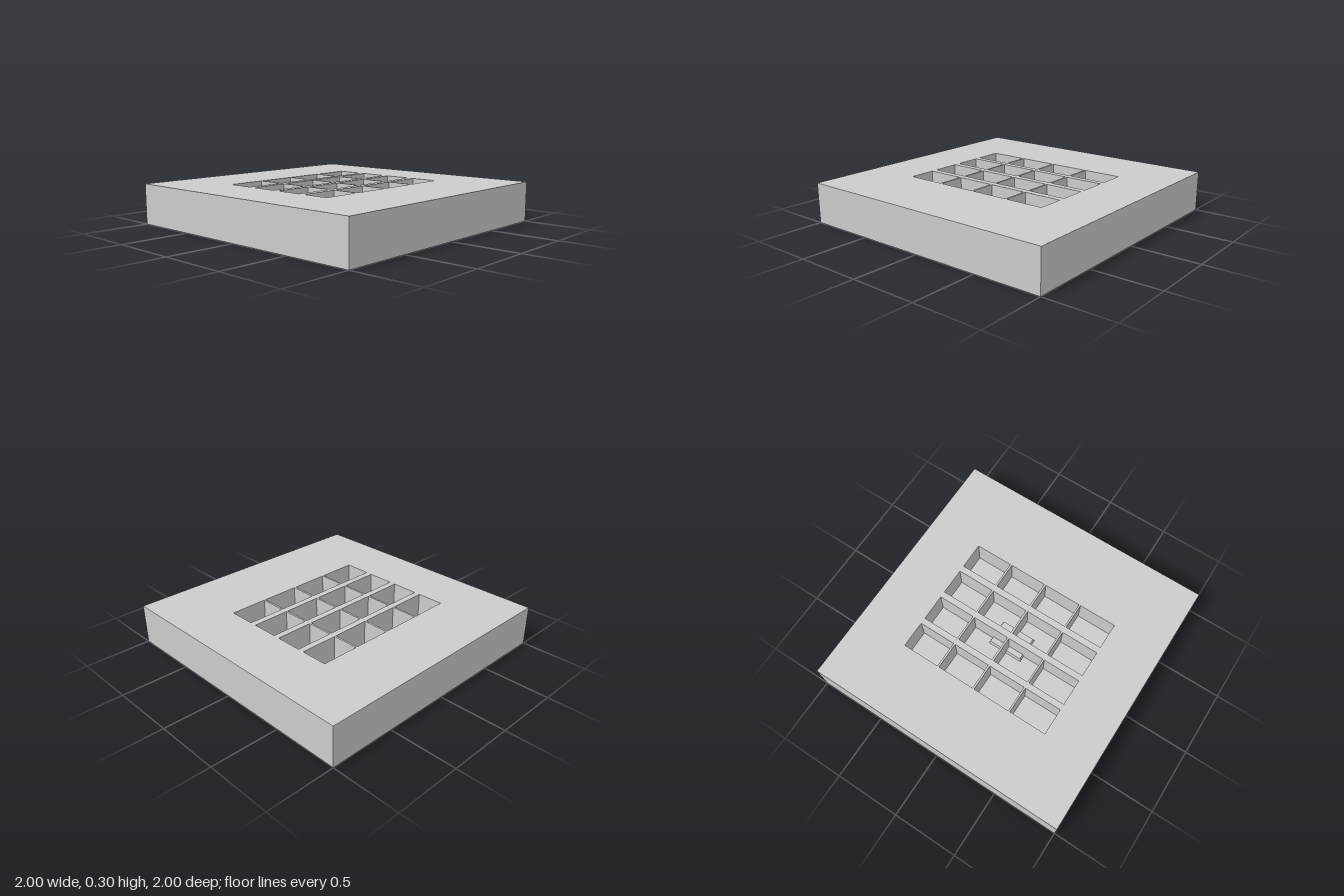
import * as THREE from 'three';

const SIZE = 2, HEIGHT = 0.3, FLOOR = 0.1;
const POCKET_W = 0.286, POCKET_D = 0.202;
const COLUMNS = [-0.453, -0.153, 0.148, 0.448];
const ROWS = [-0.402, -0.153, 0.097, 0.348];

// rectangle outline centred on (x, z), drawn in plan
function rectangle(path, x, z, w, d) {
  path.moveTo(x - w / 2, -z - d / 2);
  path.lineTo(x + w / 2, -z - d / 2);
  path.lineTo(x + w / 2, -z + d / 2);
  path.lineTo(x - w / 2, -z + d / 2);
  path.closePath();
  return path;
}

export function createModel() {
  const group = new THREE.Group();
  group.name = 'pocketedSlab';
  const material = new THREE.MeshStandardMaterial({ color: 0xcccccc, flatShading: true });

  const add = (name, geometry) => {
    const mesh = new THREE.Mesh(geometry, material);
    mesh.name = name;
    group.add(mesh);
    return mesh;
  };

  // upper slab with a four by four grid of pockets
  const plan = rectangle(new THREE.Shape(), 0, 0, SIZE, SIZE);
  for (const z of ROWS) {
    for (const x of COLUMNS) {
      plan.holes.push(rectangle(new THREE.Path(), x, z, POCKET_W, POCKET_D));
    }
  }
  const slab = new THREE.ExtrudeGeometry(plan, { depth: HEIGHT - FLOOR, bevelEnabled: false });
  slab.rotateX(-Math.PI / 2);
  add('pocketGrid', slab).position.y = FLOOR;

  // solid base closing the pockets
  add('base', new THREE.BoxGeometry(SIZE, FLOOR, SIZE)).position.y = FLOOR / 2;

  // low central block on the pocket floor, its top edge slightly drawn in
  const block = new THREE.BoxGeometry(0.276, 0.03, 0.2);
  const p = block.attributes.position;
  for (let i = 0; i < p.count; i++) {
    if (p.getY(i) > 0) {
      p.setX(i, p.getX(i) - Math.sign(p.getX(i)) * 0.008);
      p.setZ(i, p.getZ(i) - Math.sign(p.getZ(i)) * 0.008);
    }
  }
  block.computeVertexNormals();
  add('centreBlock', block).position.y = FLOOR + 0.015;

  return group;
}
